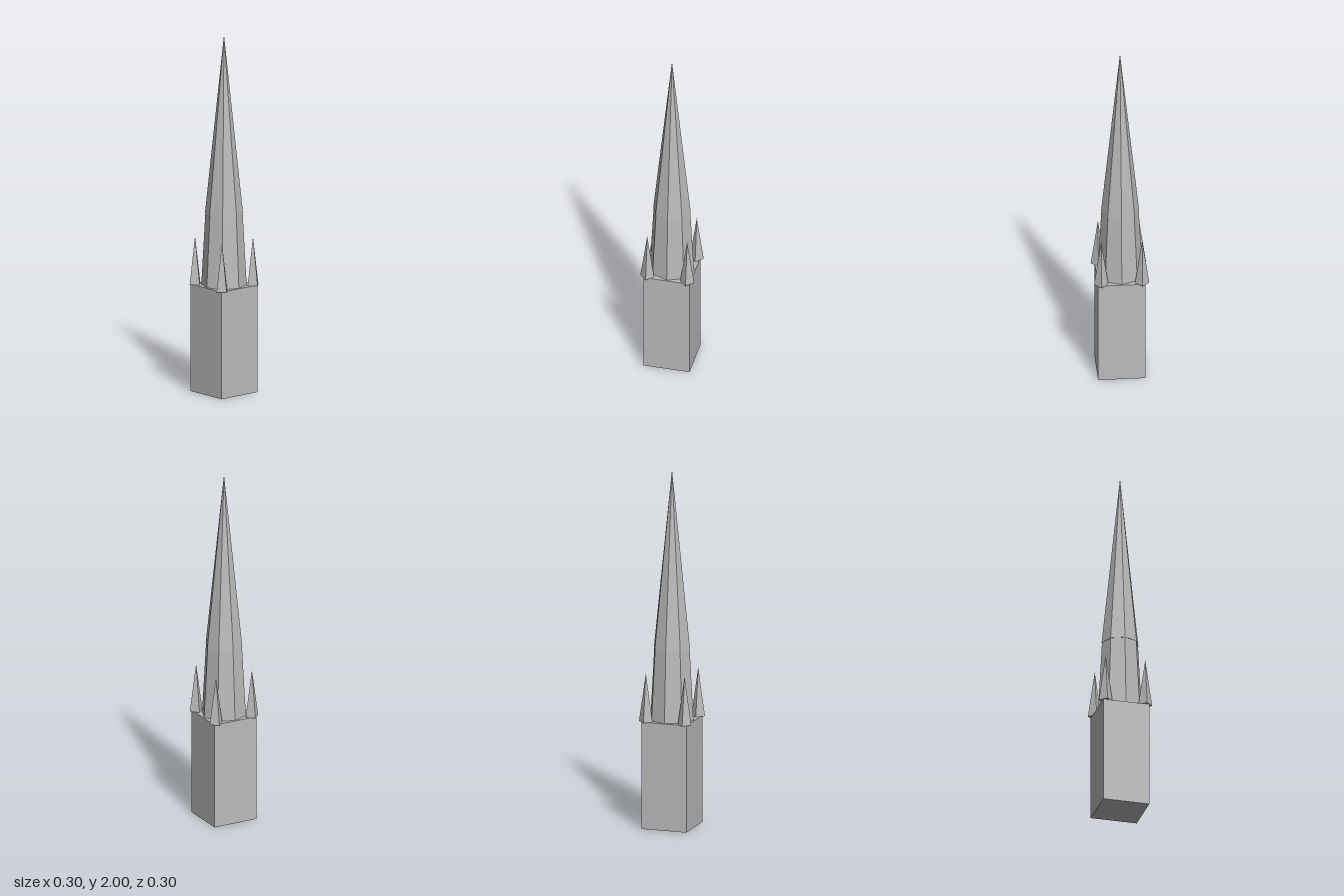
import * as THREE from 'three';

export function createModel() {
  const group = new THREE.Group();
  group.name = 'churchSpire';
  const stone = new THREE.MeshStandardMaterial({ color: 0xbbbbbb, flatShading: true });
  stone.name = 'pale grey stone';

  const add = (name, geometry, x, y, z) => {
    const mesh = new THREE.Mesh(geometry, stone);
    mesh.name = name;
    mesh.position.set(x, y, z);
    group.add(mesh);
  };

  // Square tower
  add('tower', new THREE.BoxGeometry(0.26, 0.6, 0.26), 0, 0.3, 0);

  // Tapering octagonal drum, corners on the axes
  add('drum', new THREE.CylinderGeometry(0.102, 0.124, 0.4, 8), 0, 0.8, 0);

  // Tall octagonal spire, just overhanging the drum
  add('spire', new THREE.ConeGeometry(0.104, 1, 8), 0, 1.5, 0);

  // Four-sided pinnacles over the tower corners
  for (const x of [-1, 1]) {
    for (const z of [-1, 1]) {
      add('pinnacle', new THREE.ConeGeometry(0.039, 0.27, 4), x * 0.112, 0.735, z * 0.112);
    }
  }
  return group;
}
